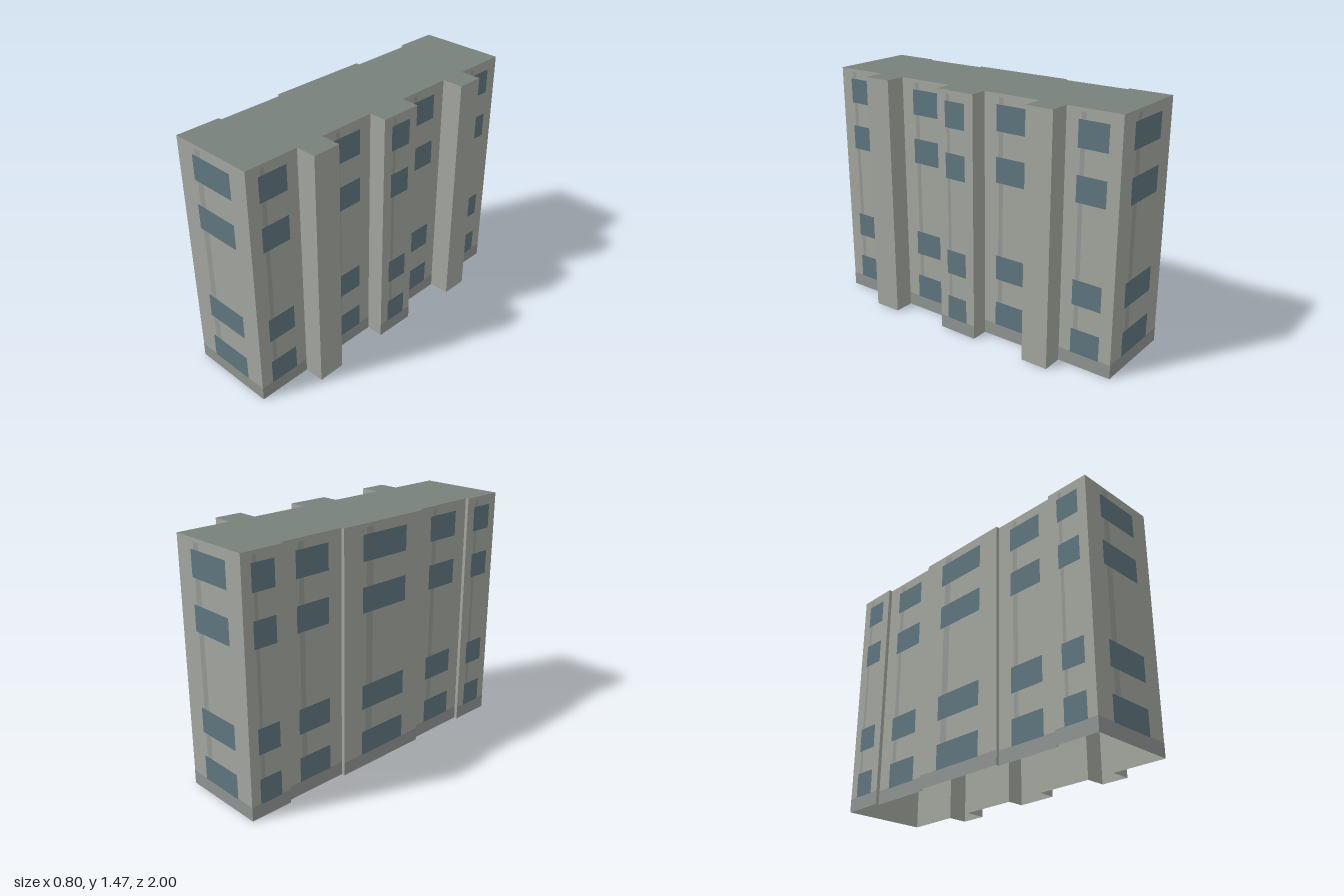
import * as THREE from 'three';

const HEIGHT = 1.47;

// Footprint corners [x, z, windowed], counter-clockwise from above.
// The flag says whether the wall starting at that corner has windows.
const FOOTPRINT = [
  // front wall
  [-0.22, 1.0, 1],
  // right side: two piers and a windowed middle bay
  [0.31, 0.945, 1],
  [0.277, 0.617, 0], [0.4, 0.605, 0], [0.382, 0.437, 0], [0.26, 0.448, 1],
  [0.226, 0.098, 0], [0.33, 0.088, 1], [0.31, -0.163, 0], [0.204, -0.153, 1],
  [0.168, -0.507, 0], [0.295, -0.52, 0], [0.28, -0.685, 0], [0.154, -0.672, 1],
  // back wall
  [0.125, -1.0, 1],
  // left side with shallow steps
  [-0.402, -0.95, 1],
  [-0.38, -0.69, 0], [-0.358, -0.692, 1],
  [-0.32, -0.288, 0], [-0.342, -0.286, 1],
  [-0.285, 0.33, 0], [-0.264, 0.328, 1],
  [-0.225, 0.733, 0], [-0.245, 0.735, 1],
];

// Bottom and top of each window row
const WINDOW_ROWS = [[0.08, 0.23], [0.375, 0.525], [0.965, 1.115], [1.26, 1.41]];

const paint = (color) => new THREE.MeshStandardMaterial({ color, side: THREE.DoubleSide });

export function createModel() {
  const model = new THREE.Group();
  model.name = 'apartmentBlock';

  const wallPaint = paint(0xa3a69f);
  const basePaint = paint(0x8f9491);
  const stripePaint = paint(0x959994);
  const glassPaint = new THREE.MeshStandardMaterial({ color: 0x5f767e });

  FOOTPRINT.forEach(([x0, z0, windowed], i) => {
    const [x1, z1] = FOOTPRINT[(i + 1) % FOOTPRINT.length];
    const width = Math.hypot(x1 - x0, z1 - z0);

    // Each wall section is built from its left end, facing +z, then turned into place
    const section = new THREE.Group();
    section.name = windowed ? 'windowWall' : 'plainWall';
    section.position.set(x0, 0, z0);
    section.rotation.y = Math.atan2(z0 - z1, x1 - x0);
    model.add(section);

    // Flat panel from fraction u0 to u1 of the width and from height y0 to y1
    const panel = (name, u0, u1, y0, y1, depth, material) => {
      const mesh = new THREE.Mesh(new THREE.PlaneGeometry((u1 - u0) * width, y1 - y0), material);
      mesh.name = name;
      mesh.position.set(((u0 + u1) / 2) * width, (y0 + y1) / 2, depth);
      section.add(mesh);
    };

    panel('wall', 0, 1, 0, HEIGHT, 0, wallPaint);
    if (!windowed) return;
    panel('baseBand', 0, 1, 0, 0.083, 0.0008, basePaint);
    panel('verticalStripe', 0.27, 0.355, 0.083, 1.45, 0.0008, stripePaint);
    for (const [y0, y1] of WINDOW_ROWS) panel('window', 0.226, 0.774, y0, y1, 0.0016, glassPaint);
  });

  // Flat roof over the whole footprint
  const outline = new THREE.Shape(FOOTPRINT.map(([x, z]) => new THREE.Vector2(x, -z)));
  const roof = new THREE.Mesh(new THREE.ShapeGeometry(outline).rotateX(-Math.PI / 2), paint(0x78807c));
  roof.name = 'roof';
  roof.position.y = HEIGHT;
  model.add(roof);

  return model;
}
